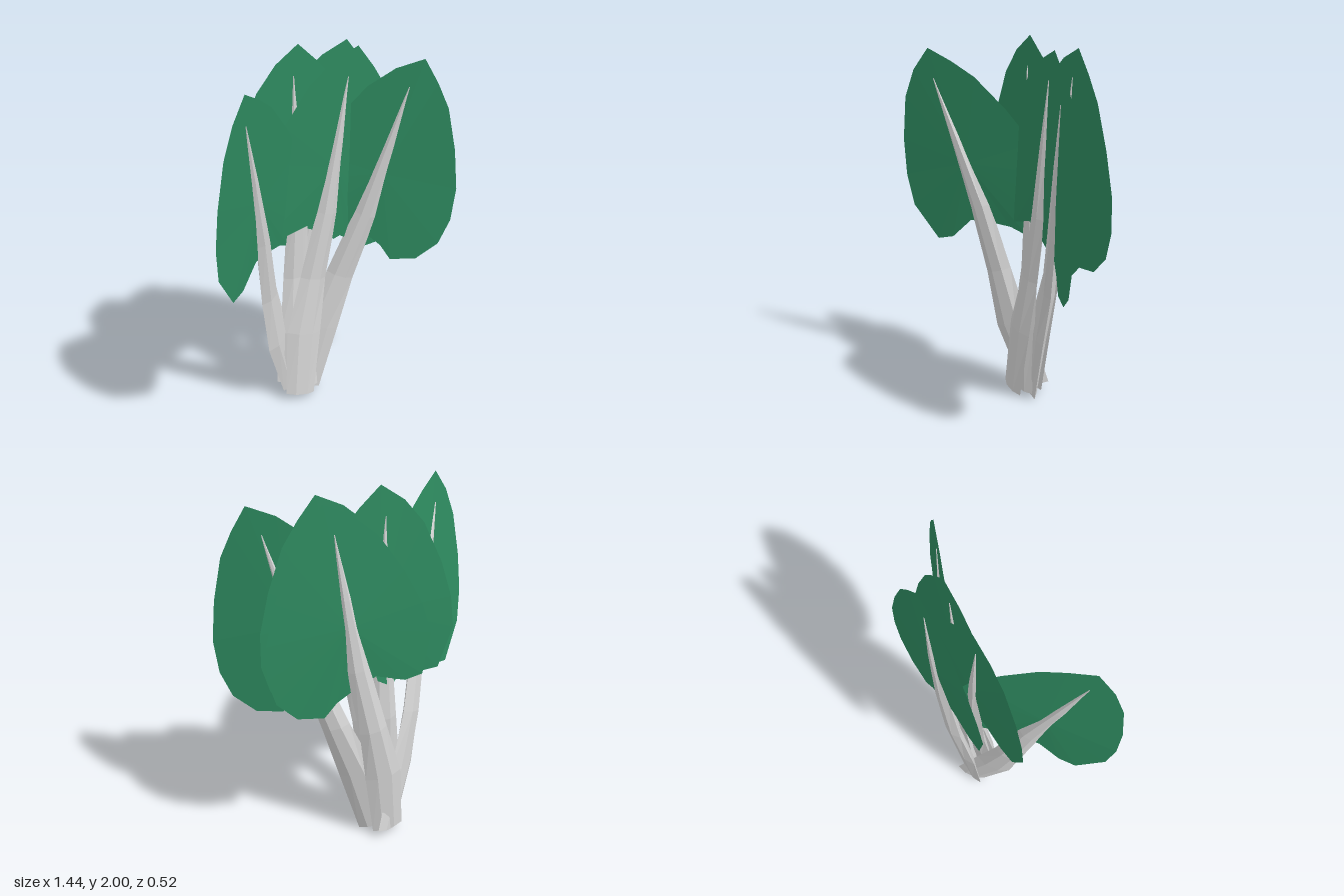
import * as THREE from 'three';

// Blade outline, clockwise from the tip: [x, y]
const OUTLINE = [
  [0, 2], [0.11, 1.9], [0.21, 1.79], [0.326, 1.585], [0.415, 1.38], [0.45, 1.2], [0.435, 1.05],
  [0.35, 0.93], [0.215, 0.885], [0.135, 0.95], [0.04, 0.99], [-0.09, 1.03], [-0.235, 0.955],
  [-0.33, 0.96], [-0.41, 1.18], [-0.39, 1.36], [-0.33, 1.56], [-0.23, 1.78], [-0.125, 1.91],
];

// Stalk cross-sections from the ground up: [centre x, y, z, half width, half thickness]
const STALK = [
  [0, 0.027, 0.05, 0.085, 0.02],
  [-0.03, 0.4, 0.025, 0.1, 0.028],
  [-0.02, 0.72, 0, 0.075, 0.03],
  [-0.005, 1.1, 0, 0.06, 0.028],
  [-0.015, 1.5, 0.004, 0.032, 0.02],
  [-0.025, 1.84, 0.011, 0.003, 0.005],
];

function makeGeometry(points, index) {
  const g = new THREE.BufferGeometry();
  g.setAttribute('position', new THREE.Float32BufferAttribute(points.flat(), 3));
  g.setIndex(index);
  const flat = g.toNonIndexed();
  flat.computeVertexNormals();
  return flat;
}

// Thin lens-shaped blade: two fans meeting at the rim
function bladeGeometry() {
  const n = OUTLINE.length;
  const points = OUTLINE.map(([x, y]) => [x, y, 0.015 * Math.max(0, (y - 1.35) / 0.65)]);
  points.push([0, 1.35, 0.01], [0, 1.35, -0.01]);
  const index = [];
  for (let i = 0; i < n; i++) {
    const j = (i + 1) % n;
    index.push(n, j, i, n + 1, i, j);
  }
  return makeGeometry(points, index);
}

// Flattened six-sided stalk tapering into the midrib
function stalkGeometry() {
  const section = [[1, 0], [0.4, 1], [-0.4, 1], [-1, 0], [-0.4, -1], [0.4, -1]];
  const points = [], index = [];
  for (const [cx, y, cz, w, t] of STALK)
    for (const [u, v] of section) points.push([cx + u * w, y, cz + v * t]);
  for (let r = 0; r < STALK.length - 1; r++)
    for (let i = 0; i < 6; i++) {
      const a = r * 6 + i, b = r * 6 + (i + 1) % 6;
      index.push(a, a + 6, b, b, a + 6, b + 6);
    }
  const top = (STALK.length - 1) * 6;
  for (let i = 1; i < 5; i++) index.push(0, i, i + 1, top, top + i + 1, top + i);
  return makeGeometry(points, index);
}

export function createModel() {
  const leafGreen = new THREE.MeshStandardMaterial({ color: 0x2e8b60 });
  const stalkWhite = new THREE.MeshStandardMaterial({ color: 0xd6d6d6 });
  leafGreen.name = 'leafGreen';
  stalkWhite.name = 'stalkWhite';
  for (const m of [leafGreen, stalkWhite]) {
    m.flatShading = true;
    m.side = THREE.DoubleSide;
  }
  const blade = bladeGeometry(), stalk = stalkGeometry();

  // Leaves: name, base x, base z, yaw, pitch, roll (degrees)
  const leaves = [
    ['frontLeaf', -0.12, -0.11, -5.4, 0, -10.3],
    ['backLeaf', -0.105, -0.245, -5.4, 0, -10.3],
    ['middleLeaf', -0.07, -0.15, -1, 0, 0],
    ['leftSideLeaf', -0.03, -0.19, -26.6, 0, -18.4],
    ['rightSideLeaf', -0.12, -0.25, 32, 4.4, 17],
  ];
  const model = new THREE.Group();
  model.name = 'leafyGreens';
  const rad = THREE.MathUtils.degToRad;
  for (const [name, x, z, yaw, pitch, roll] of leaves) {
    const leaf = new THREE.Group();
    leaf.name = name;
    const bladeMesh = new THREE.Mesh(blade, leafGreen);
    bladeMesh.name = 'blade';
    const stalkMesh = new THREE.Mesh(stalk, stalkWhite);
    stalkMesh.name = 'stalk';
    leaf.add(bladeMesh, stalkMesh);
    leaf.position.set(x, 0, z);
    leaf.rotation.set(rad(pitch), rad(yaw), rad(roll), 'YXZ');
    model.add(leaf);
  }
  return model;
}
